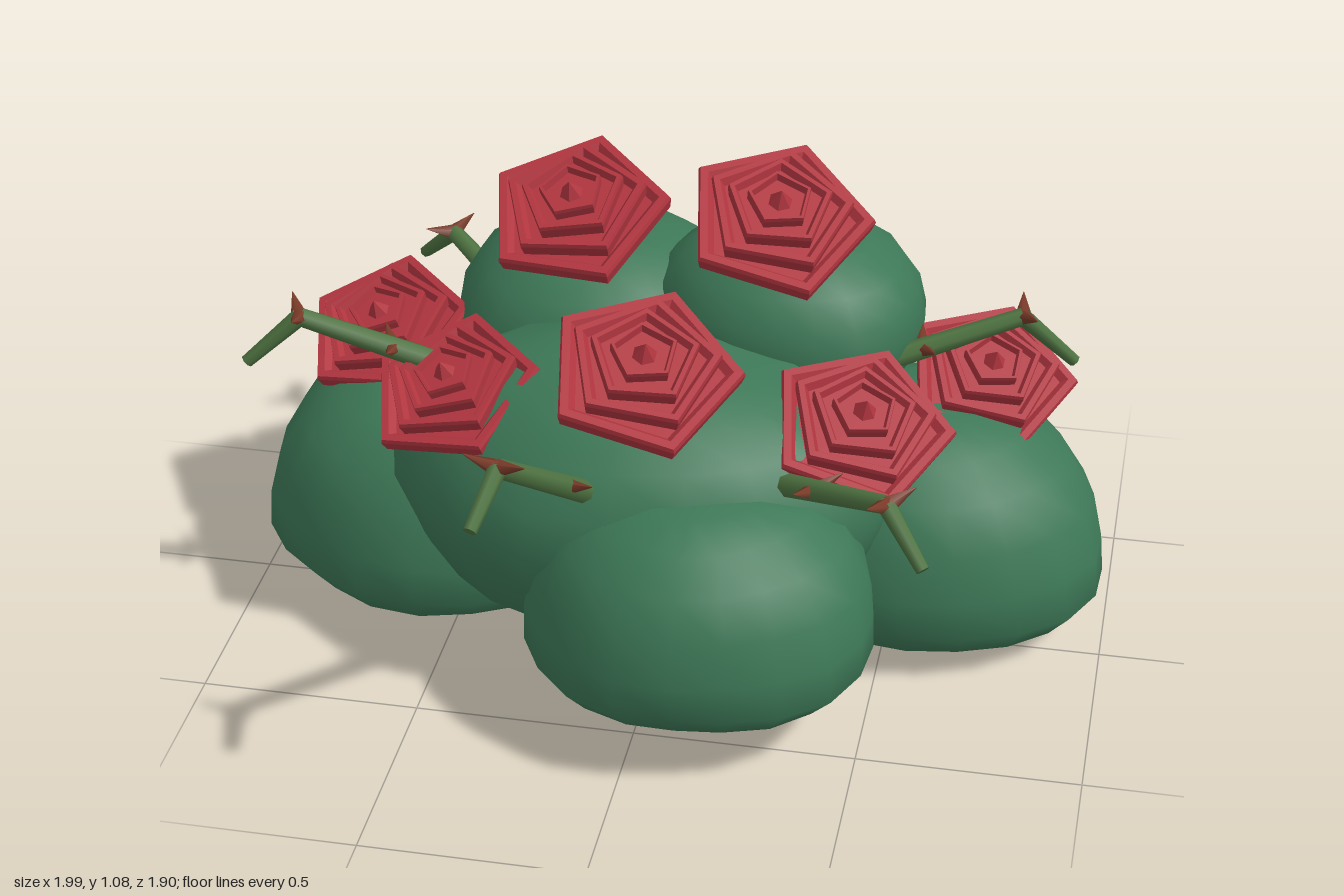
import * as THREE from 'three';
import { mergeVertices } from 'three/addons/utils/BufferGeometryUtils.js';

const mat = (name, color, opts = {}) => new THREE.MeshStandardMaterial({ name, color, ...opts });
const V = (a) => new THREE.Vector3(...a);
const UP = new THREE.Vector3(0, 1, 0);

// Cross-sections [radius, height]: low mounds bulge near the ground, high ones around the middle
const LOW = [[0, 0], [0.35, 0], [0.62, 0.01], [0.86, 0.11], [1, 0.23], [0.99, 0.4], [0.94, 0.6],
  [0.81, 0.78], [0.61, 0.91], [0.36, 0.98], [0, 1]];
const HIGH = [[0, 0], [0.35, 0.02], [0.62, 0.08], [0.82, 0.2], [0.95, 0.36], [1, 0.52], [0.96, 0.68],
  [0.82, 0.83], [0.6, 0.94], [0.34, 0.99], [0, 1]];

// Lumpy foliage mound: a lathe waved around its axis, leaning sideways towards the top
function bushGeometry(profile, seed, lean) {
  let geo = new THREE.LatheGeometry(profile.map(([r, y]) => new THREE.Vector2(r, y)), 20);
  geo.deleteAttribute('uv');
  geo.deleteAttribute('normal');
  geo = mergeVertices(geo, 1e-4);
  const p = geo.attributes.position;
  for (let i = 0; i < p.count; i++) {
    const x = p.getX(i), y = p.getY(i), z = p.getZ(i);
    const a = Math.atan2(z, x);
    const k = 0.99 + 0.02 * Math.sin(3 * a + seed * 2.1 + y * 2) + 0.02 * Math.sin(5 * a - seed + y * 4);
    p.setXYZ(i, x * k + lean * y, y, z * k);
  }
  geo.computeVertexNormals();
  return geo;
}

// Five-sided petal layer: underside, flared wall, rim and shallow hollow
function petalGeometry(r, top, depth) {
  const pts = [[0, top - depth], [r * 0.55, top - depth * 0.85], [r * 0.97, top - 0.04], [r, top - 0.01],
    [r * 0.98, top], [r * 0.88, top], [r * 0.8, top - 0.016], [0, top - 0.016]];
  return new THREE.LatheGeometry(pts.map(([x, y]) => new THREE.Vector2(x, y)), 5);
}

function makeRose(material) {
  const rose = new THREE.Group();
  rose.name = 'rose';
  const layers = [[0.222, 0.008, 0.09], [0.172, 0.038, 0.09], [0.124, 0.06, 0.08], [0.076, 0.074, 0.07]];
  layers.forEach(([r, top, depth], i) => {
    const petals = new THREE.Mesh(petalGeometry(r, top, depth), material);
    petals.name = 'petalLayer';
    petals.rotation.y = Math.PI - 0.12 + i * 0.14;
    rose.add(petals);
  });
  const bud = new THREE.Mesh(new THREE.ConeGeometry(0.036, 0.05, 6), material);
  bud.name = 'bud';
  bud.position.y = 0.072;
  rose.add(bud);
  return rose;
}

// Tapered rod between two points
function rod(a, b, r0, r1, sides, material, name) {
  const dir = b.clone().sub(a);
  const mesh = new THREE.Mesh(new THREE.CylinderGeometry(r1, r0, dir.length(), sides), material);
  mesh.name = name;
  mesh.position.copy(a).add(b).multiplyScalar(0.5);
  mesh.quaternion.setFromUnitVectors(UP, dir.normalize());
  return mesh;
}

function makeStem(base, knee, tip, green, brown) {
  const stem = new THREE.Group();
  stem.name = 'thornyStem';
  const [a, b, c] = [V(base), V(knee), V(tip)];
  stem.add(rod(a, b, 0.028, 0.021, 7, green, 'lowerStem'), rod(b, c, 0.021, 0.015, 7, green, 'upperStem'));
  // Thorn pairs at the bend and lower down the stem
  const along = c.clone().sub(a).setY(0).normalize();
  const side = new THREE.Vector3(-along.z, 0, along.x);
  for (const t of [0.35, 1]) {
    const root = a.clone().lerp(b, t);
    for (const s of [-1, 1]) {
      const end = root.clone().addScaledVector(side, s * 0.07).addScaledVector(along, 0.015);
      end.y += 0.025;
      stem.add(rod(root, end, 0.02, 0.001, 5, brown, 'thorn'));
    }
  }
  return stem;
}

export function createModel() {
  const model = new THREE.Group();
  model.name = 'roseBush';
  const leaf = mat('leaf green', 0x3d7857);
  const red = mat('petal red', 0xb0353f, { flatShading: true });
  const stemGreen = mat('stem green', 0x4f7442);
  const brown = mat('thorn brown', 0x7c3c2a);

  // Foliage: section, centre x, bottom y, centre z, radius x, height, radius z, lean
  const bushes = [
    ['rightSideMound', LOW, -0.56, 0.01, -0.1, 0.45, 0.54, 0.39, 0.02],
    ['leftSideMound', LOW, 0.57, 0, -0.17, 0.45, 0.55, 0.38, -0.12],
    ['frontMound', LOW, 0.12, 0.08, 0.34, 0.4, 0.5, 0.38, 0],
    ['middleMound', HIGH, -0.06, 0.09, 0.08, 0.6, 0.65, 0.42, 0],
    ['upperBackMound', HIGH, 0.23, 0.46, -0.27, 0.32, 0.45, 0.29, -0.04],
    ['lowerBackMound', HIGH, -0.24, 0.33, -0.34, 0.36, 0.5, 0.32, 0],
  ];
  bushes.forEach(([name, profile, x, y, z, rx, h, rz, lean], i) => {
    const bush = new THREE.Mesh(bushGeometry(profile, i + 1, lean), leaf);
    bush.name = name;
    bush.position.set(x, y, z);
    bush.scale.set(rx, h, rz);
    model.add(bush);
  });

  // Roses: centre, sideways lean, size
  const roses = [
    [-0.73, 0.595, -0.18, -0.18, 0.94],
    [-0.28, 0.915, -0.24, -0.06, 1],
    [0.2, 0.97, -0.18, 0.14, 1],
    [0.69, 0.575, -0.25, 0.2, 0.94],
    [-0.47, 0.675, 0.2, -0.18, 0.92],
    [-0.01, 0.835, 0.32, 0.14, 1],
    [0.445, 0.66, 0.17, 0.2, 0.97],
  ];
  for (const [x, y, z, lean, size] of roses) {
    const rose = makeRose(red);
    rose.position.set(x, y, z);
    rose.quaternion.setFromUnitVectors(UP, new THREE.Vector3(lean, 0.9, 0.4).normalize());
    rose.scale.setScalar(size);
    model.add(rose);
  }

  // Thorny stems: base, bend, tip
  const stems = [
    [[-0.5, 0.7, 0.15], [-0.8, 0.84, 0.24], [-0.92, 0.73, 0.27]],
    [[-0.1, 0.53, 0.36], [-0.21, 0.87, 0.82], [-0.24, 0.79, 0.94]],
    [[0.28, 0.57, 0.3], [0.55, 0.69, 0.53], [0.64, 0.59, 0.61]],
    [[0.42, 0.63, -0.14], [0.76, 0.74, -0.24], [0.88, 0.61, -0.29]],
    [[0.08, 0.58, -0.45], [0.15, 0.73, -0.81], [0.19, 0.6, -0.94]],
    [[-0.45, 0.55, -0.4], [-0.67, 0.63, -0.6], [-0.77, 0.52, -0.69]],
  ];
  for (const [a, b, c] of stems) model.add(makeStem(a, b, c, stemGreen, brown));

  return model;
}
